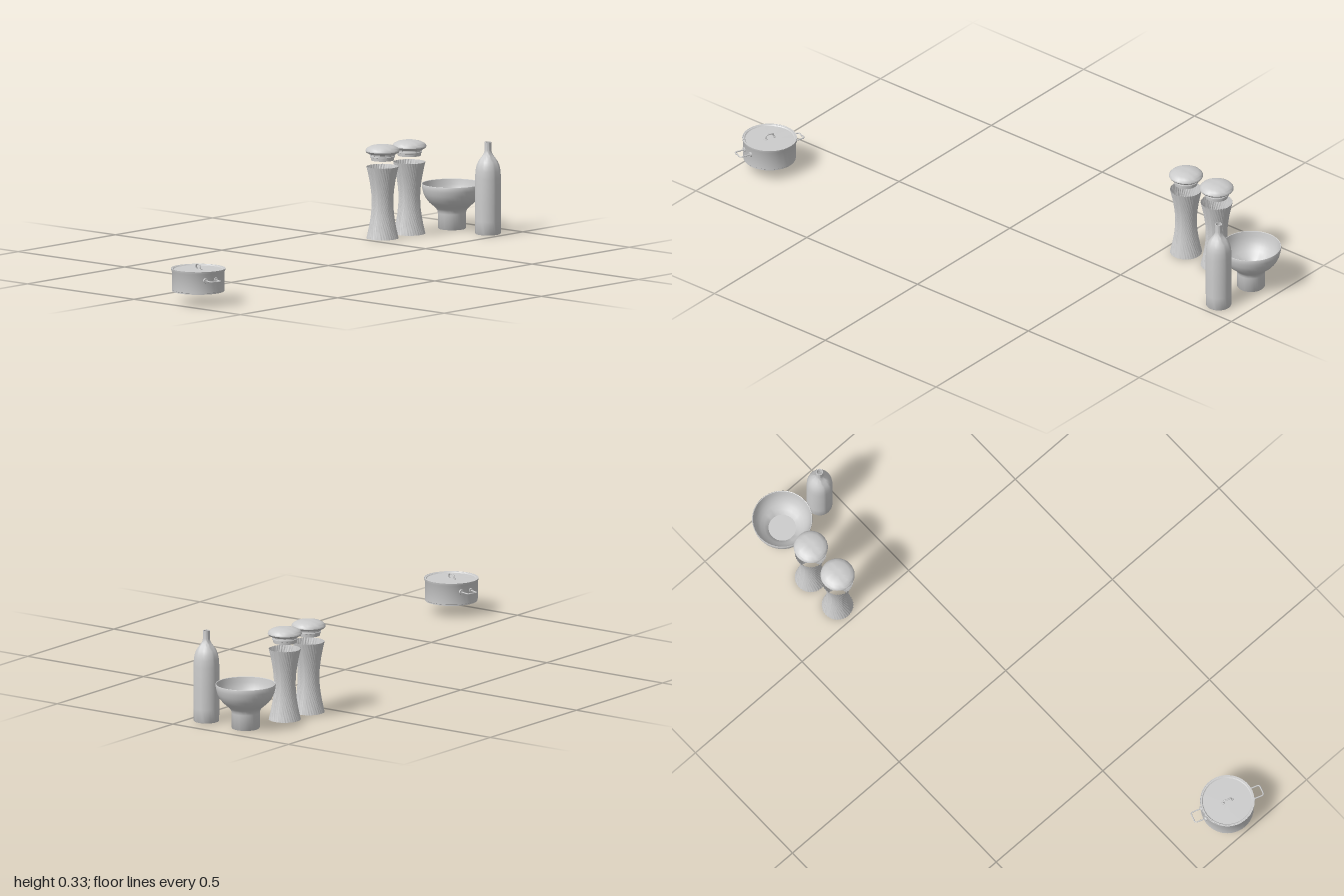
import * as THREE from 'three';
import { toCreasedNormals } from 'three/addons/utils/BufferGeometryUtils.js';

const material = new THREE.MeshStandardMaterial({ color: 0xcccccc, side: THREE.DoubleSide });

function add(parent, name, geometry) {
  const mesh = new THREE.Mesh(geometry, material);
  mesh.name = name;
  parent.add(mesh);
  return mesh;
}

function group(parent, name, x, z) {
  const g = new THREE.Group();
  g.name = name;
  g.position.set(x, 0, z);
  parent.add(g);
  return g;
}

// Turned shape from [radius, height] pairs, bottom to top
function turned(profile, sides = 32) {
  const points = profile.map(([r, y]) => new THREE.Vector2(r, y));
  return toCreasedNormals(new THREE.LatheGeometry(points, sides), 0.7);
}

// Bent rod through straight runs with rounded corners
function rod(corners, bend, radius) {
  const p = corners.map((c) => new THREE.Vector3(...c));
  const path = new THREE.CurvePath();
  let from = p[0];
  for (let i = 1; i < p.length - 1; i++) {
    const a = p[i].clone().add(p[i - 1].clone().sub(p[i]).setLength(bend));
    const b = p[i].clone().add(p[i + 1].clone().sub(p[i]).setLength(bend));
    path.add(new THREE.LineCurve3(from, a));
    path.add(new THREE.QuadraticBezierCurve3(a, p[i], b));
    from = b;
  }
  path.add(new THREE.LineCurve3(from, p[p.length - 1]));
  return new THREE.TubeGeometry(path, 40, radius, 8);
}

// Fluted sleeve ruled by slanted lines, which pinches it at the waist
function twistedSleeve(radius, bottom, top, twist, flutes) {
  const geometry = new THREE.CylinderGeometry(1, 1, 1, flutes * 4, 24, true);
  const pos = geometry.attributes.position;
  for (let i = 0; i < pos.count; i++) {
    const angle = Math.atan2(pos.getX(i), pos.getZ(i));
    const t = pos.getY(i) + 0.5;
    const r = radius * (0.98 + 0.02 * Math.cos(angle * flutes));
    const low = angle + twist, high = angle - twist;
    pos.setXYZ(i,
      r * THREE.MathUtils.lerp(Math.sin(low), Math.sin(high), t),
      THREE.MathUtils.lerp(bottom, top, t),
      r * THREE.MathUtils.lerp(Math.cos(low), Math.cos(high), t));
  }
  return toCreasedNormals(geometry, 0.9);
}

function addMill(parent, name, x, z) {
  const mill = group(parent, name, x, z);
  add(mill, 'millBody', twistedSleeve(0.056, 0.003, 0.255, 0.83, 36));
  add(mill, 'millCap', turned([
    [0, 0.277], [0.040, 0.277], [0.041, 0.287], [0.044, 0.288], [0.044, 0.292],
    [0.042, 0.293], [0.042, 0.295], [0.045, 0.296], [0.045, 0.299], [0.050, 0.301],
    [0.056, 0.304], [0.0595, 0.309], [0.0585, 0.314], [0.053, 0.320],
    [0.042, 0.326], [0.025, 0.330], [0.010, 0.332], [0, 0.332],
  ]));
}

function addPot(parent, x, z) {
  const pot = group(parent, 'pot', x, z);
  pot.rotation.y = 0.33 * -1;
  // Wall with base lip and flared rim
  add(pot, 'potWall', turned([
    [0.089, 0.045], [0.091, 0.045], [0.091, 0.049], [0.092, 0.050], [0.092, 0.114],
    [0.093, 0.118], [0.095, 0.121], [0.095, 0.125], [0.093, 0.125], [0.090, 0.121],
  ]));
  add(pot, 'lid', turned([[0.0925, 0.124], [0.088, 0.124], [0.085, 0.121], [0, 0.122]]));
  // Arched lid grip with flattened feet
  add(pot, 'lidGrip', rod(
    [[0, 0.121, -0.016], [0, 0.138, -0.016], [0, 0.138, 0.016], [0, 0.121, 0.016]], 0.011, 0.0028));
  for (const s of [-1, 1]) {
    const foot = add(pot, 'lidGripFoot', new THREE.CylinderGeometry(0.006, 0.007, 0.003, 16));
    foot.position.set(0, 0.123, s * 0.016);
    // Side handle and its round mounts
    add(pot, 'sideHandle', rod(
      [[-0.02, 0.094, s * 0.088], [-0.02, 0.094, s * 0.13],
        [0.02, 0.094, s * 0.13], [0.02, 0.094, s * 0.088]], 0.009, 0.0025));
    for (const side of [-1, 1]) {
      const mount = add(pot, 'handleMount', new THREE.CylinderGeometry(0.008, 0.009, 0.005, 16));
      mount.rotation.x = Math.PI / 2 * s;
      mount.position.set(side * 0.02, 0.094, s * 0.091);
    }
  }
}

export function createModel() {
  const model = new THREE.Group();
  model.name = 'kitchenware';

  addPot(model, -0.905, 0.215);
  addMill(model, 'leftMill', 0.71, -0.268);
  addMill(model, 'rightMill', 0.572, -0.268);

  // Bottle, open at neck and base
  const bottle = group(model, 'bottle', 0.89, -0.063);
  add(bottle, 'bottleBody', turned([
    [0.043, 0.003], [0.0445, 0.006], [0.045, 0.05], [0.0455, 0.12], [0.045, 0.20],
    [0.0435, 0.225], [0.040, 0.243], [0.034, 0.257], [0.025, 0.270], [0.018, 0.279],
    [0.0135, 0.288], [0.012, 0.297], [0.012, 0.325], [0.010, 0.325], [0.010, 0.30],
  ]));

  // Bowl on a hollow foot
  const bowl = group(model, 'footedBowl', 0.893, -0.235);
  add(bowl, 'bowlBody', turned([
    [0.047, 0.003], [0.049, 0.006], [0.049, 0.058], [0.051, 0.067], [0.056, 0.075],
    [0.066, 0.084], [0.080, 0.096], [0.091, 0.110], [0.099, 0.127], [0.103, 0.143],
    [0.105, 0.159], [0.104, 0.161], [0.102, 0.160], [0.099, 0.142], [0.094, 0.126],
    [0.086, 0.110], [0.075, 0.097], [0.062, 0.086], [0.052, 0.077], [0.048, 0.072], [0, 0.072],
  ], 40));

  return model;
}
